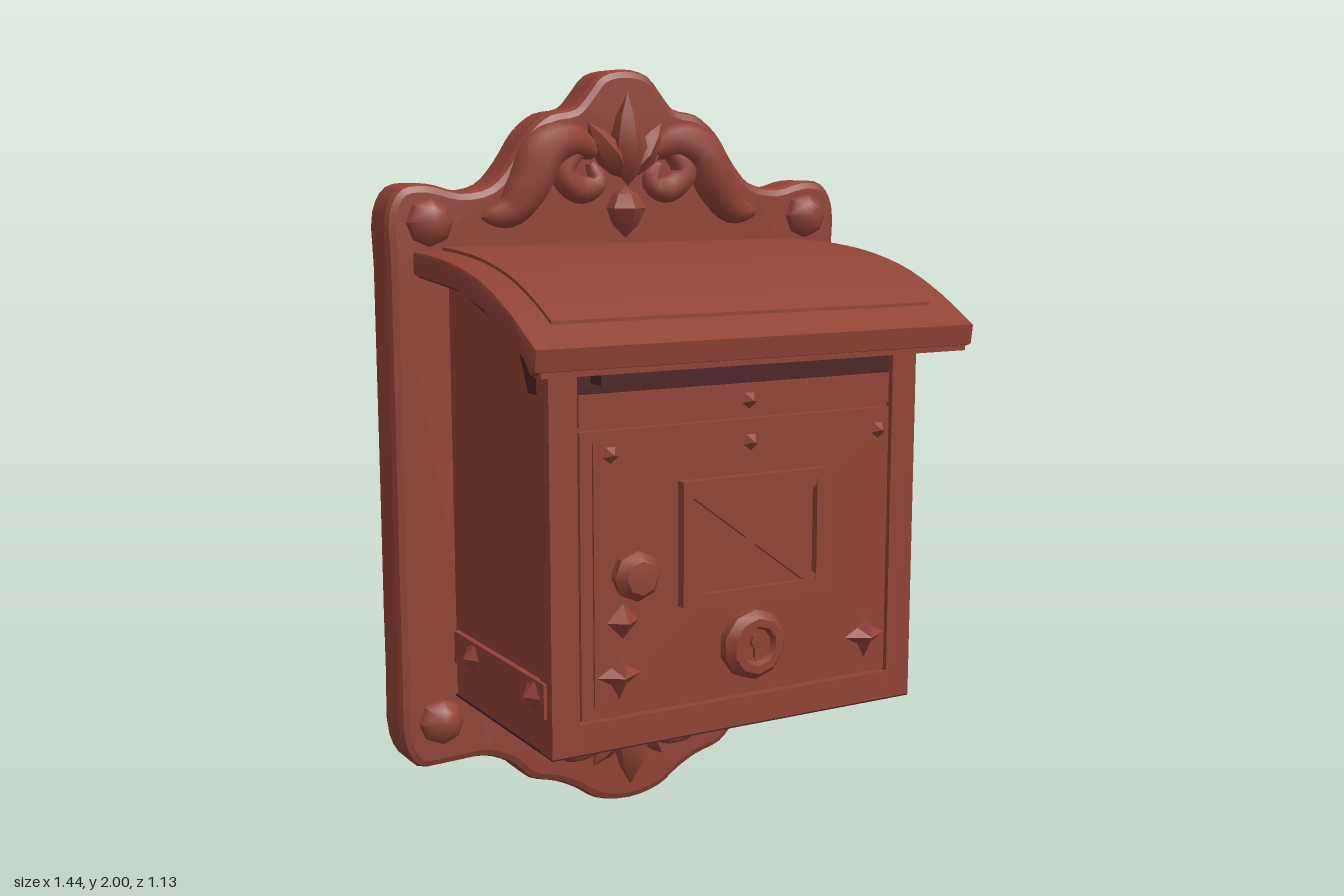
import * as THREE from 'three';
import { toCreasedNormals } from 'three/addons/utils/BufferGeometryUtils.js';

const iron = new THREE.MeshStandardMaterial({ color: 0x914336 });
iron.name = 'rust red iron';
const darkIron = new THREE.MeshStandardMaterial({ color: 0x4c2326 });
darkIron.name = 'dark maroon iron';

const V = (x, y, z) => new THREE.Vector3(x, y, z);

function dark(mesh) {
  mesh.material = darkIron;
  return mesh;
}

export function createModel() {
  const model = new THREE.Group();
  model.name = 'wallMailbox';
  // The box hangs turned a little to its left
  const box = new THREE.Group();
  box.name = 'mailbox';
  box.rotation.y = 0.267;
  box.position.set(0.026, 0, -0.007);
  model.add(box);

  function add(name, geo, x = 0, y = 0, z = 0, crease = 0.6) {
    const mesh = new THREE.Mesh(toCreasedNormals(geo, crease), iron);
    mesh.name = name;
    mesh.position.set(x, y, z);
    box.add(mesh);
    return mesh;
  }
  const block = (name, x0, x1, y0, y1, z0, z1) =>
    add(name, new THREE.BoxGeometry(x1 - x0, y1 - y0, z1 - z0), (x0 + x1) / 2, (y0 + y1) / 2, (z0 + z1) / 2);

  // Side profile of [z, y] points swept across the width
  function sweep(name, pts, width, bevel = 0) {
    const shape = new THREE.Shape(pts.map(p => new THREE.Vector2(p[0], p[1])));
    const geo = new THREE.ExtrudeGeometry(shape, {
      depth: width - 2 * bevel, bevelEnabled: bevel > 0, bevelSize: bevel,
      bevelThickness: bevel, bevelOffset: -bevel, bevelSegments: 2
    });
    geo.rotateY(-Math.PI / 2);
    geo.translate(width / 2 - bevel, 0, 0);
    return add(name, geo);
  }

  // Scalloped back plate, flat behind
  const half = [
    [0.07, 1.985], [0.115, 1.935], [0.15, 1.9], [0.22, 1.885], [0.28, 1.84], [0.335, 1.76], [0.39, 1.705],
    [0.47, 1.69], [0.56, 1.71], [0.63, 1.7], [0.665, 1.64], [0.665, 1.5], [0.665, 1], [0.665, 0.45],
    [0.66, 0.27], [0.62, 0.205], [0.53, 0.2], [0.43, 0.2], [0.36, 0.17], [0.3, 0.115], [0.22, 0.09],
    [0.16, 0.06], [0.1, 0.02]
  ];
  const outline = [[0, 2], ...half, [0, 0], ...half.slice().reverse().map(p => [-p[0], p[1]])];
  const plateCurve = new THREE.CatmullRomCurve3(outline.map(p => V(p[0], p[1], 0)), true);
  const plateShape = new THREE.Shape(plateCurve.getPoints(144).slice(0, -1).map(p => new THREE.Vector2(p.x, p.y)));
  add('backPlate', new THREE.ExtrudeGeometry(plateShape, {
    depth: 0.09, bevelSize: 0.022, bevelThickness: 0.023, bevelOffset: -0.022, bevelSegments: 2
  }), 0, 0, -0.38, 0.35);

  // Body, closed under the curved roof
  sweep('body', [[-0.29, 0.39], [0.29, 0.39], [0.29, 1.4], [0.15, 1.46], [0, 1.49], [-0.29, 1.51]], 1.02);
  dark(block('bodyBottom', -0.515, 0.515, 0.386, 0.392, -0.28, 0.311));
  // Dark band below the eaves, also backing the letter slot
  dark(sweep('eavesBand', [[-0.15, 1.47], [-0.13, 1.43], [0, 1.395], [0.13, 1.375], [0.2, 1.24], [0.294, 1.24], [0.294, 1.38], [0.15, 1.44], [0, 1.475]], 1.026));

  // Curved roof with a thick front lip, a raised field and a dark lining
  const roofTop = new THREE.CatmullRomCurve3(
    [[-0.285, 1.545], [-0.15, 1.54], [0, 1.525], [0.155, 1.492], [0.3, 1.435], [0.432, 1.365]].map(p => V(p[0], p[1], 0)));
  const top = roofTop.getPoints(16).map(p => [p.x, p.y]);
  const under = [[0.425, 1.315], [0.395, 1.305], [0.37, 1.335], [0.29, 1.375], [0.15, 1.43], [0, 1.465], [-0.285, 1.485]];
  sweep('roof', [...top, ...under], 1.205, 0.008);
  const field = top.filter(p => p[0] < 0.37);
  sweep('roofPanel', [...field.map(p => [p[0], p[1] + 0.008]), ...field.slice().reverse().map(p => [p[0], p[1] - 0.02])], 1.05);
  const lining = under.slice(2);
  dark(sweep('roofLining', [...lining.map(p => [p[0], p[1] - 0.004]), ...lining.slice().reverse().map(p => [p[0], p[1] + 0.004])], 1.18));
  block('roofFrontBead', -0.585, 0.585, 1.3, 1.325, 0.385, 0.42);

  // Front frame, door, letter flap and slot hood
  for (const s of [-1, 1]) {
    block('cornerPost', s * 0.48 - 0.036, s * 0.48 + 0.036, 0.39, 1.37, 0.25, 0.312);
  }
  block('bottomRail', -0.516, 0.516, 0.39, 0.462, 0.25, 0.312);
  block('door', -0.437, 0.437, 0.47, 1.155, 0.27, 0.308);
  block('doorPanel', -0.405, 0.425, 0.5, 1.13, 0.28, 0.314);
  block('letterFlap', -0.437, 0.437, 1.167, 1.24, 0.27, 0.306);
  dark(block('slotHood', -0.4, 0.4, 1.265, 1.31, 0.27, 0.345));

  // Small pointed studs facing forward
  function stud(name, x, y, z, r, h, sides) {
    const geo = new THREE.ConeGeometry(r, h, sides);
    geo.rotateX(Math.PI / 2);
    return add(name, geo, x, y, z + h / 2, 0.2);
  }
  for (const x of [-0.36, 0.022, 0.4]) stud('doorStud', x, 1.1, 0.312, 0.024, 0.022, 5);
  stud('flapStud', 0.022, 1.2, 0.304, 0.024, 0.022, 5);
  stud('knobDrop', -0.33, 0.7, 0.312, 0.045, 0.035, 4);

  // Four-pointed stars
  for (const x of [-0.34, 0.37]) {
    const geo = new THREE.ConeGeometry(0.066, 0.04, 8);
    const p = geo.attributes.position;
    for (let i = 0; i < p.count; i++) {
      const k = Math.round(Math.atan2(p.getX(i), p.getZ(i)) / (Math.PI / 4));
      if (k % 2) { p.setX(i, p.getX(i) * 0.5); p.setZ(i, p.getZ(i) * 0.5); }
    }
    geo.rotateX(Math.PI / 2);
    add('doorStar', geo, x, 0.57, 0.33, 0.2);
  }

  // Envelope relief
  const ex = 0.022, ey = 0.87, ew = 0.203, eh = 0.152, bar = 0.026;
  block('envelope', ex - ew, ex + ew, ey - eh, ey + eh, 0.3, 0.322);
  for (const s of [-1, 1]) {
    block('envelopeSide', ex + s * (ew - bar / 2) - bar / 2, ex + s * (ew - bar / 2) + bar / 2, ey - eh, ey + eh, 0.3, 0.342);
    block('envelopeEdge', ex - ew, ex + ew, ey + s * (eh - bar / 2) - bar / 2, ey + s * (eh - bar / 2) + bar / 2, 0.3, 0.342);
    const fold = add('envelopeFold', new THREE.BoxGeometry(0.43, 0.03, 0.025), ex, ey, 0.327);
    fold.rotation.z = s * Math.atan2(eh, ew);
  }

  // Round parts turned from [radius, depth] profiles, axis forward
  function turned(name, pts, sides, x, y, z) {
    const geo = new THREE.LatheGeometry(pts.map(p => new THREE.Vector2(p[0], p[1])), sides);
    geo.rotateX(Math.PI / 2);
    return add(name, geo, x, y, z, 0.7);
  }
  turned('knob', [[0.035, 0], [0.03, 0.035], [0.057, 0.045], [0.06, 0.07], [0.04, 0.095], [0, 0.1]], 8, -0.325, 0.822, 0.31);
  turned('lock', [[0.088, 0], [0.088, 0.03], [0.07, 0.05], [0.05, 0.05], [0.042, 0.035], [0, 0.035]], 10, 0.023, 0.6, 0.31);
  turned('keyholeTop', [[0.02, 0], [0.02, 0.012], [0, 0.014]], 8, 0.023, 0.612, 0.343);
  block('keyholeSlot', 0.014, 0.032, 0.57, 0.612, 0.34, 0.353);

  // Side straps with studs
  for (const s of [-1, 1]) {
    block('sideStrap', s * 0.512 - 0.012, s * 0.512 + 0.012, 0.482, 0.567, -0.25, 0.285);
    for (const z of [0.225, -0.13]) {
      const geo = new THREE.ConeGeometry(0.04, 0.028, 5);
      geo.rotateZ(-s * Math.PI / 2);
      add('strapStud', geo, s * 0.537, 0.525, z, 0.2);
    }
  }

  // Corner bosses on the back plate
  for (const s of [-1, 1]) for (const y of [1.615, 0.325]) {
    turned('cornerBoss', [[0.062, -0.01], [0.058, 0.02], [0.036, 0.04], [0, 0.046]], 8, s * 0.56, y, -0.268);
  }

  // Tapered, flattened scroll along a path
  function scroll(name, pts, radius) {
    const curve = new THREE.CatmullRomCurve3(pts.map(p => V(p[0], p[1], -0.255)));
    const n = 28, m = 8;
    const geo = new THREE.TubeGeometry(curve, n, radius, m, false);
    const p = geo.attributes.position, v = V(0, 0, 0);
    for (let i = 0; i <= n; i++) {
      const c = curve.getPointAt(i / n);
      const size = 0.02 + Math.pow(Math.sin(Math.PI * Math.min(0.999, 0.06 + 0.94 * i / n)), 0.6);
      for (let j = 0; j <= m; j++) {
        const k = i * (m + 1) + j;
        v.fromBufferAttribute(p, k).sub(c).multiplyScalar(size).add(c);
        p.setXYZ(k, v.x, v.y, v.z);
      }
    }
    return add(name, geo, 0, 0, 0, 1);
  }
  // Pointed leaf growing from its base at an angle
  function leaf(name, x, y, length, width, angle, z = -0.25) {
    const pts = [[0, 0], [0.6, 0.15], [1, 0.42], [0.6, 0.75], [0, 1]]
      .map(p => new THREE.Vector2(p[0] * width, p[1] * length));
    const geo = new THREE.LatheGeometry(pts, 6);
    geo.scale(1, 1, 0.055 / width);
    const mesh = add(name, geo, x, y, z, 0.7);
    mesh.rotation.z = angle;
    return mesh;
  }

  const cx = -0.015;
  // Crest ornament
  for (const s of [-1, 1]) {
    scroll('crestScroll', [[0.1, 1.76], [0.08, 1.71], [0.13, 1.69], [0.18, 1.735], [0.14, 1.79], [0.07, 1.8]].map(p => [cx + s * p[0], p[1]]), 0.036);
    scroll('crestWing', [[0.09, 1.79], [0.16, 1.815], [0.23, 1.79], [0.28, 1.7], [0.33, 1.64], [0.41, 1.625]].map(p => [cx + s * p[0], p[1]]), 0.06);
    leaf('crestLeaf', cx, 1.72, 0.18, 0.04, -s * 0.65);
  }
  leaf('crestMiddleLeaf', cx, 1.7, 0.24, 0.05, 0, -0.235);
  leaf('crestPendant', cx, 1.7, 0.135, 0.055, Math.PI);

  // Base ornament, dark where it sits under the box
  for (const s of [-1, 1]) {
    scroll('baseScroll', [[0.06, 0.25], [0.11, 0.19], [0.18, 0.19], [0.2, 0.25], [0.15, 0.28], [0.11, 0.25]].map(p => [cx + s * p[0], p[1]]), 0.036);
    dark(scroll('baseWing', [[0.08, 0.25], [0.17, 0.24], [0.25, 0.28], [0.31, 0.34], [0.38, 0.38]].map(p => [cx + s * p[0], p[1]]), 0.055));
    leaf('baseLeaf', cx, 0.27, 0.18, 0.04, s * (Math.PI - 0.65));
    dark(leaf('baseUpperLeaf', cx + s * 0.03, 0.25, 0.15, 0.04, -s * 0.8));
  }
  leaf('baseMiddleLeaf', cx, 0.28, 0.22, 0.05, Math.PI, -0.235);
  dark(leaf('basePendant', cx, 0.25, 0.14, 0.055, 0));
  // Dark ground behind the upper base ornament
  dark(block('baseGround', -0.33, 0.3, 0.28, 0.4, -0.275, -0.262));

  return model;
}
